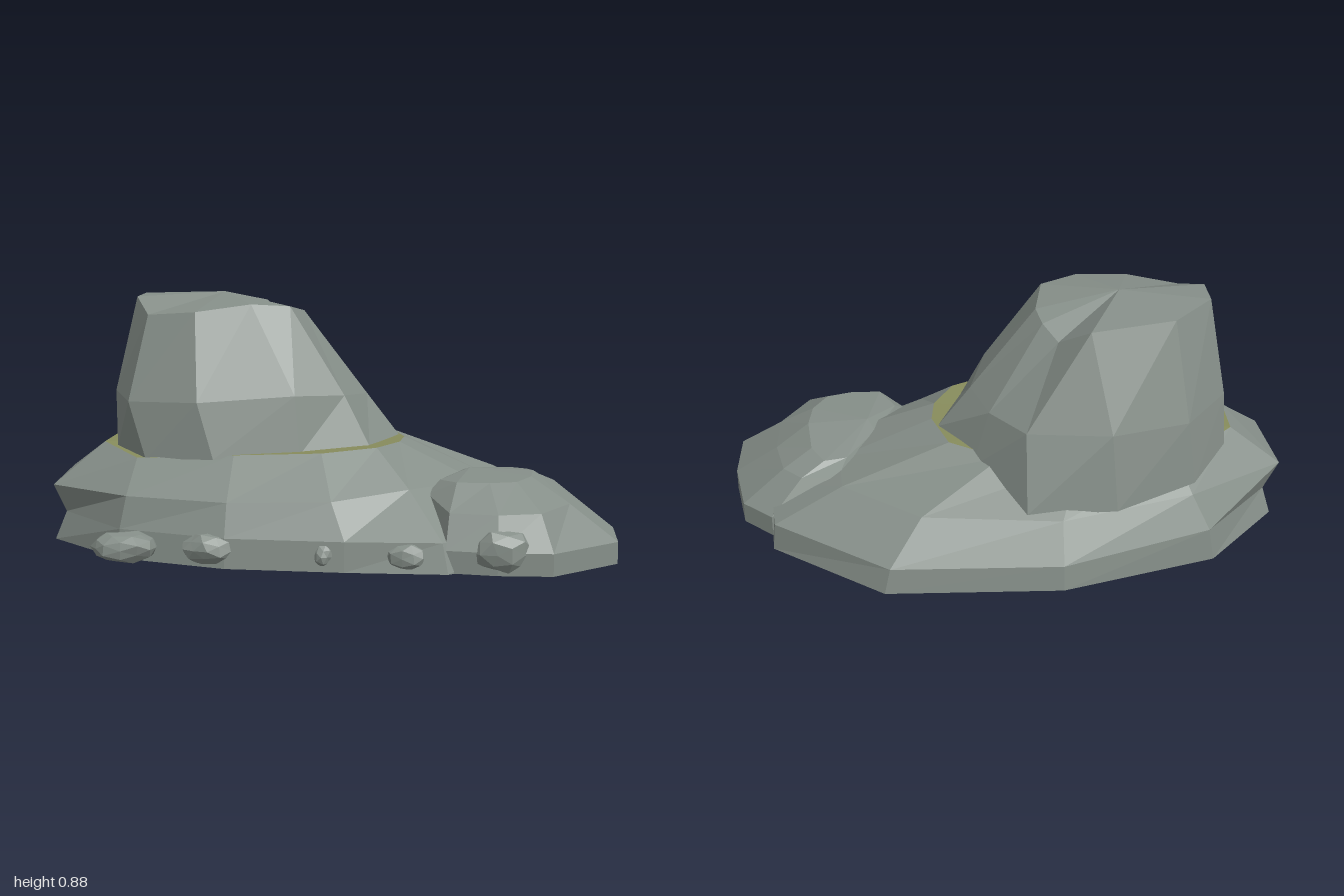
import * as THREE from 'three';

const stone = new THREE.MeshStandardMaterial({ color: 0x868f89, flatShading: true });
stone.name = 'grey stone';
const moss = new THREE.MeshStandardMaterial({ color: 0x878c5c, flatShading: true });
moss.name = 'olive moss';

// Faceted mesh from a list of triangles
function facets(name, tris, material) {
  const geo = new THREE.BufferGeometry();
  geo.setAttribute('position', new THREE.Float32BufferAttribute(tris.flat(2), 3));
  geo.computeVertexNormals();
  const mesh = new THREE.Mesh(geo, material);
  mesh.name = name;
  return mesh;
}

// Fan from a ring to a centre point
const fan = (ring, c) => ring.map((p, i) => [p, ring[(i + 1) % ring.length], c]);

// Skin stacked rings (counterclockwise from above), with a closed underside
function skin(rings) {
  const tris = [];
  const n = rings[0].length;
  for (let r = 0; r < rings.length - 1; r++) {
    for (let i = 0; i < n; i++) {
      const j = (i + 1) % n;
      const [a, b, c, d] = [rings[r][i], rings[r][j], rings[r + 1][i], rings[r + 1][j]];
      tris.push([a, b, d], [a, d, c]);
    }
  }
  const foot = [...rings[0]].reverse();
  const mid = [0, 1, 2].map(k => foot.reduce((s, p) => s + p[k], 0) / n);
  return tris.concat(fan(foot, mid));
}

// Small rounded pebble, squashed and unevenly shaped
function pebble(x, y, z, rx, ry, rz, turn) {
  const geo = new THREE.IcosahedronGeometry(1, 1);
  const p = geo.attributes.position;
  for (let i = 0; i < p.count; i++) {
    const [a, b, c] = [p.getX(i), p.getY(i), p.getZ(i)];
    const k = 0.94 + 0.07 * Math.sin(4 * a + 3 * b + 5 * c + turn);
    p.setXYZ(i, a * k, Math.max(-0.8, Math.min(0.85, b * k)), c * k);
  }
  geo.rotateY(turn);
  geo.scale(rx, ry, rz);
  geo.computeVertexNormals();
  const mesh = new THREE.Mesh(geo, stone);
  mesh.position.set(x, y, z);
  mesh.name = 'pebble';
  return mesh;
}

export function createModel() {
  const group = new THREE.Group();
  group.name = 'rockFormation';

  // Broad base slab
  const slabFoot = [[.86, 0, 0], [.83, 0, -.3], [.43, 0, -.6], [-.18, 0, -.61], [-.72, 0, -.44], [-.98, 0, -.14],
    [-.98, 0, .19], [-.68, 0, .46], [-.3, 0, .57], [.1, 0, .58], [.44, 0, .57], [.75, 0, .3]];
  const slabEdge = [[.86, .1, 0], [.82, .1, -.3], [.41, .09, -.59], [-.18, .09, -.6], [-.7, .12, -.44], [-.95, .1, -.13],
    [-.94, .1, .18], [-.68, .1, .45], [-.3, .1, .56], [.1, .1, .57], [.42, .1, .55], [.74, .1, .3]];
  const slabShoulder = [[.6, .21, -.02], [.58, .22, -.25], [.3, .22, -.47], [-.18, .22, -.52], [-.64, .24, -.4], [-1, .21, -.14],
    [-.98, .2, .2], [-.66, .21, .43], [-.3, .21, .51], [.05, .22, .51], [.3, .24, .37], [.52, .24, .17]];
  const slabTop = [[.26, .36, -.02], [.2, .36, -.2], [.02, .35, -.3], [-.25, .34, -.33], [-.6, .32, -.3], [-.82, .34, -.1],
    [-.82, .34, .08], [-.65, .32, .3], [-.3, .345, .36], [0, .355, .35], [.18, .36, .24], [.25, .36, .1]];
  group.add(facets('baseSlab', skin([slabFoot, slabEdge, slabShoulder, slabTop]), stone));

  // Mossy ledge on top of the slab
  group.add(facets('mossLedge', fan(slabTop, [-.28, .345, .02]), moss));

  // Tall boulder with a notched crown
  const boulder = [
    [[.24, .355, -.07], [.15, .355, .18], [-.08, .34, .31], [-.37, .33, .37], [-.62, .315, .3], [-.76, .335, .13],
      [-.78, .33, -.2], [-.65, .27, -.37], [-.37, .23, -.48], [-.06, .23, -.49], [.12, .3, -.27]],
    [[.12, .51, -.07], [.06, .53, .16], [-.1, .54, .28], [-.43, .52, .34], [-.69, .51, .25], [-.79, .52, .02],
      [-.77, .52, -.18], [-.62, .5, -.36], [-.35, .5, -.44], [-.06, .5, -.41], [.06, .5, -.25]],
    [[-.11, .81, -.07], [-.14, .835, .09], [-.27, .845, .15], [-.46, .82, .2], [-.64, .805, .14], [-.71, .86, 0],
      [-.71, .865, -.14], [-.57, .85, -.28], [-.28, .83, -.32], [-.18, .745, -.21], [-.13, .785, -.14]],
  ].map(ring => ring.reverse());
  group.add(facets('tallBoulder', [...skin(boulder), ...fan(boulder[2], [-.4, .877, -.07])], stone));

  // Low boulder at the front corner
  const lowFoot = [[1, 0, .13], [.95, 0, -.11], [.84, 0, -.21], [.62, 0, -.18], [.45, 0, .1],
    [.33, 0, .35], [.43, 0, .55], [.6, 0, .57], [.78, 0, .56], [1, 0, .36]];
  const lowEdge = lowFoot.map(([x, , z]) => [x, .075, z]);
  const lowShoulder = [[.84, .19, .1], [.8, .2, -.08], [.73, .2, -.15], [.6, .2, -.16], [.46, .22, .03],
    [.36, .22, .33], [.44, .19, .5], [.6, .19, .52], [.74, .19, .48], [.84, .19, .3]];
  const lowTop = [[.72, .272, .13], [.7, .25, -.02], [.65, .24, -.1], [.57, .24, -.08], [.47, .26, .08],
    [.4, .26, .28], [.46, .27, .38], [.57, .27, .38], [.66, .27, .35], [.71, .272, .25]];
  group.add(facets('lowBoulder', [...skin([lowFoot, lowEdge, lowShoulder, lowTop]), ...fan(lowTop, [.5, .28, .14])], stone));

  // Pebbles along the front foot
  const pebbles = [[-.645, .055, .52, .12, .058, .08, 0], [-.35, .06, .53, .1, .06, .065, 1],
    [.03, .05, .55, .04, .045, .04, 2], [.3, .05, .54, .08, .055, .05, 3], [.615, .07, .53, .11, .085, .065, 4]];
  for (const p of pebbles) group.add(pebble(...p));

  return group;
}
